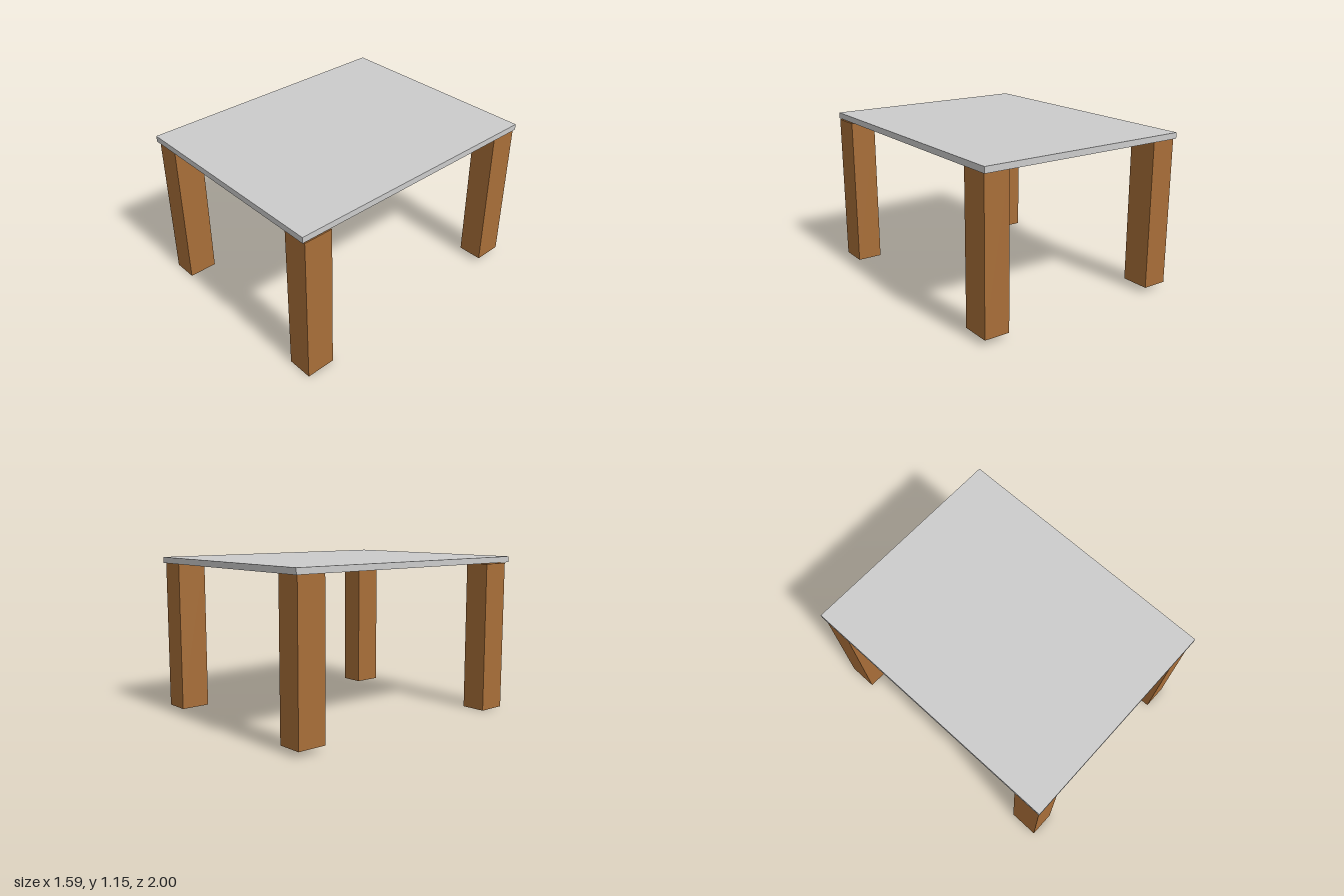
import * as THREE from 'three';

export function createModel() {
  const group = new THREE.Group();
  const grey = new THREE.MeshStandardMaterial({ color: 0xcccccc });
  const wood = new THREE.MeshStandardMaterial({ color: 0xa86e38 });

  function box(name, size, position, material) {
    const mesh = new THREE.Mesh(new THREE.BoxGeometry(...size), material);
    mesh.name = name;
    mesh.position.set(...position);
    group.add(mesh);
  }

  // Thin table top
  box('tableTop', [1.588, 0.043, 2], [-0.002, 1.1285, 0], grey);

  // Four square legs; the front pair sits slightly lower and further to +x
  const legs = [
    ['frontRightLeg', -0.683, 0, 0.88],
    ['frontLeftLeg', 0.702, 0, 0.88],
    ['backRightLeg', -0.692, 0.04, -0.878],
    ['backLeftLeg', 0.692, 0.04, -0.878],
  ];
  const height = 1.1;
  for (const [name, x, bottom, z] of legs) {
    box(name, [0.184, height, 0.212], [x, bottom + height / 2, z], wood);
  }

  return group;
}
